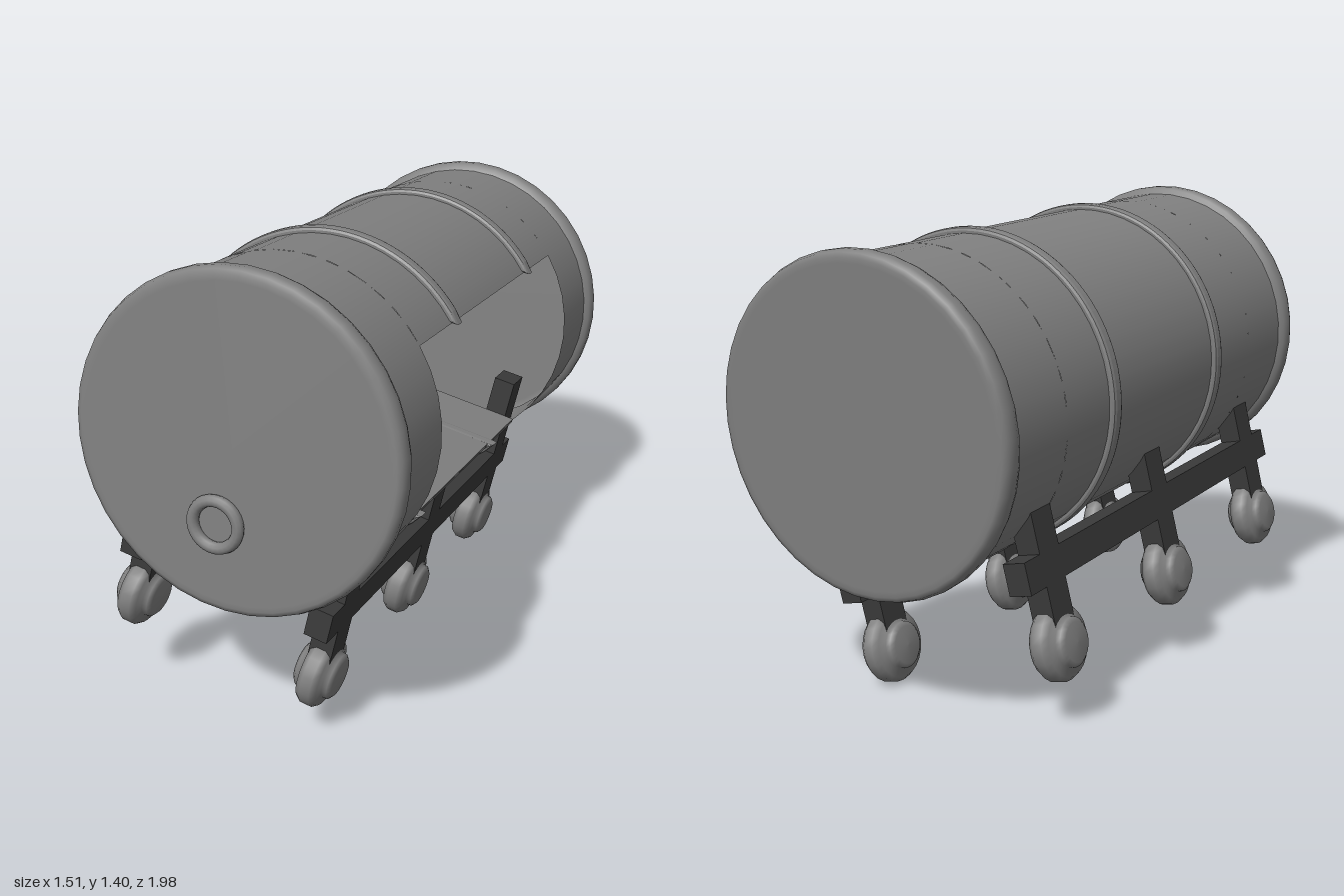
import * as THREE from 'three';

const R = 0.452;               // barrel radius
const HALF = 0.885;            // half length of the barrel
const CUT = 0.57;              // half length of the side opening
const FLOOR = -0.27, WALL = -0.1, TOP = 0.322;
const A0 = Math.PI / 4;                          // upper edge of the opening
const A1 = 2 * Math.PI - Math.asin(-FLOOR / R);  // lower edge of the opening

const V2 = pts => pts.map(([x, y]) => new THREE.Vector2(x, y));

export function createModel() {
  const shell = new THREE.MeshStandardMaterial({ color: 0x808080, side: THREE.DoubleSide });
  shell.name = 'grey metal';
  const dark = new THREE.MeshStandardMaterial({ color: 0x3a3a3a });
  dark.name = 'dark metal';

  const body = new THREE.Group();
  body.name = 'barrelCart';
  const add = (name, geo, mat, x = 0, y = 0, z = 0) => {
    const m = new THREE.Mesh(geo, mat);
    m.name = name;
    m.position.set(x, y, z);
    body.add(m);
    return m;
  };

  // Curved wall, with its axis along z
  const wall = (len, start = 0, sweep = 2 * Math.PI) =>
    new THREE.CylinderGeometry(R, R, len, 40, 1, true, start, sweep).rotateX(Math.PI / 2);
  add('openBarrelWall', wall(2 * CUT, A0 + Math.PI / 2, A1 - A0), shell);

  // Closed ends: wall, rounded rim and flat lid
  const lid = new THREE.LatheGeometry(V2([
    [R, 0.815], [0.468, 0.822], [0.475, 0.84], [0.475, 0.862], [0.468, 0.88], [0.455, HALF], [0.44, HALF], [0, HALF],
  ]), 40).rotateX(Math.PI / 2);
  for (const s of [1, -1]) {
    const end = s > 0 ? 'front' : 'back';
    add(end + 'BarrelWall', wall(0.83 - CUT), shell, 0, 0, s * (0.83 + CUT) / 2);
    add(end + 'Lid', lid, shell).rotation.y = s > 0 ? 0 : Math.PI;
  }

  // Hoops that carry on inside as partitions, cut away at the opening
  const hoop = new THREE.Shape();
  hoop.absarc(0, 0, 0.459, A0, A1, false);
  hoop.lineTo(WALL, FLOOR - 0.008);
  hoop.lineTo(WALL, TOP);
  hoop.closePath();
  const hoopGeo = new THREE.ExtrudeGeometry(hoop, {
    depth: 0.022, bevelThickness: 0.012, bevelSize: 0.01, bevelSegments: 2, curveSegments: 40,
  }).translate(0, 0, -0.011);
  for (const z of [0.315, -0.325]) add('hoop', hoopGeo, shell, 0, 0, z);

  // Floor of the opening
  add('floor', new THREE.BoxGeometry(0.36 - WALL, 0.012, 2 * CUT), shell,
    (0.36 + WALL) / 2, FLOOR - 0.006, 0);

  // Bung ring on the front lid
  add('bungRing', new THREE.TorusGeometry(0.067, 0.017, 10, 28), shell, 0, -0.22, HALF + 0.008);

  // Running gear: a rail, three posts and three wheels on each side
  const half = [[0.095, 0.031], [0.07, 0.036], [0.068, 0.05], [0.055, 0.06], [0, 0.063]];
  const profile = [
    ...half.map(([r, h]) => [r, -h]).reverse(),
    [0.107, -0.015], [0.107, 0.015],
    ...half,
  ];
  const wheel = new THREE.LatheGeometry(V2(profile), 24).rotateZ(-Math.PI / 2);
  for (const s of [1, -1]) {
    const x = s * 0.296;
    add('rail', new THREE.BoxGeometry(0.07, 0.09, 1.5), dark, x, -0.465, 0.01);
    for (const k of [-1, 0, 1]) {
      const z = 0.01 + k * 0.628;
      const top = s > 0 && k === 0 ? FLOOR - 0.012 : -0.15;
      add('post', new THREE.BoxGeometry(0.07, top + 0.68, 0.095), dark, x, (top - 0.68) / 2, z);
      add('wheel', wheel, shell, x, -0.68, z);
    }
  }

  // Tilted pose of the whole cart
  const Z = new THREE.Vector3(-0.363, 0.062, 0.93).normalize();
  const Y = Z.clone().cross(new THREE.Vector3(0.904, -0.211, 0.372)).normalize();
  const X = Y.clone().cross(Z);
  body.quaternion.setFromRotationMatrix(new THREE.Matrix4().makeBasis(X, Y, Z));
  body.position.y = 0.873;

  const model = new THREE.Group();
  model.name = 'model';
  model.add(body);
  return model;
}
